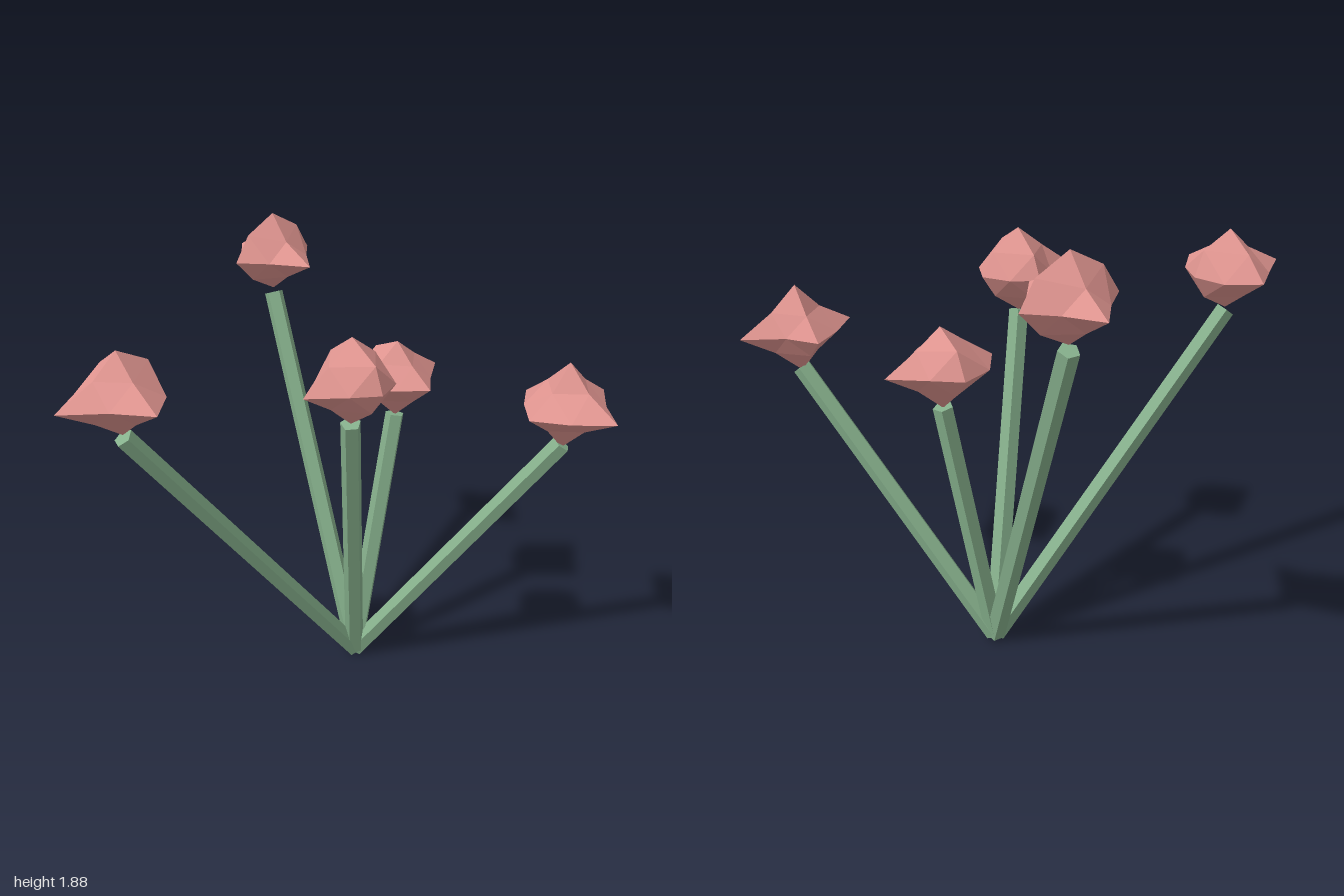
import * as THREE from 'three';

const BASE = new THREE.Vector3(0.26, 0.025, -0.035);
const SQUASH = 0.8;   // blooms are flattened in y
const NECK = 0.165;   // stem ends this far below a bloom's centre

// at: bloom centre. tips: reach along +x -x +y -y +z -z.
// xy, yz, xz: offset of the in-between corners in each plane, signs ++ +- -+ --.
const FLOWERS = [
  { at: [-0.74, 1.5, -0.21], tips: [0.17, 0.26, 0.17, 0.155, 0.24, 0.21],
    xy: [0.13, 0.115, 0.1, 0.105], yz: [0.1, 0.115, 0.1, 0.1], xz: [0.12, 0.13, 0.11, 0.115] },
  { at: [-0.04, 1.5, 0.24], tips: [0.165, 0.23, 0.175, 0.165, 0.165, 0.16],
    xy: [0.115, 0.11, 0.11, 0.1], yz: [0.125, 0.115, 0.11, 0.11], xz: [0.115, 0.1, 0.1, 0.095] },
  { at: [0.31, 1.705, -0.64], tips: [0.19, 0.195, 0.175, 0.145, 0.24, 0.215],
    xy: [0.13, 0.11, 0.13, 0.11], yz: [0.09, 0.09, 0.095, 0.095], xz: [0.1, 0.09, 0.1, 0.095] },
  { at: [0.46, 1.3, -0.03], tips: [0.23, 0.215, 0.155, 0.17, 0.195, 0.18],
    xy: [0.1, 0.1, 0.1, 0.1], yz: [0.09, 0.125, 0.1, 0.105], xz: [0.1, 0.1, 0.11, 0.13] },
  { at: [0.757, 1.3, 0.61], tips: [0.24, 0.22, 0.18, 0.18, 0.245, 0.2],
    xy: [0.105, 0.105, 0.095, 0.1], yz: [0.1, 0.1, 0.1, 0.105], xz: [0.11, 0.085, 0.13, 0.115] },
];

const petalMaterial = new THREE.MeshStandardMaterial({ color: 0xe09590, flatShading: true });
const stemMaterial = new THREE.MeshStandardMaterial({ color: 0x86b08c, flatShading: true });

// Faceted bloom: a once-divided octahedron with each corner pulled to its own reach
function bloomGeometry({ tips, xy, yz, xz }) {
  const geometry = new THREE.OctahedronGeometry(1, 1);
  const position = geometry.attributes.position;
  const pick = (list, a, b) => list[(a < 0 ? 2 : 0) + (b < 0 ? 1 : 0)];
  for (let i = 0; i < position.count; i++) {
    const s = [position.getX(i), position.getY(i), position.getZ(i)]
      .map((v) => (Math.abs(v) < 0.01 ? 0 : Math.sign(v)));
    const [x, y, z] = s;
    if (Math.abs(x) + Math.abs(y) + Math.abs(z) === 1) {
      const axis = s.findIndex((v) => v !== 0);
      const reach = tips[axis * 2 + (s[axis] < 0 ? 1 : 0)];
      position.setXYZ(i, x * reach, y * reach, z * reach);
    } else {
      const m = z === 0 ? pick(xy, x, y) : x === 0 ? pick(yz, y, z) : pick(xz, x, z);
      position.setXYZ(i, x * m, y * m * SQUASH, z * m);
    }
  }
  geometry.computeVertexNormals();
  return geometry;
}

// Five-sided stem leaning from the shared base to just under the bloom
function makeStem(top) {
  const direction = top.clone().sub(BASE);
  const stem = new THREE.Mesh(
    new THREE.CylinderGeometry(0.04, 0.042, direction.length(), 5), stemMaterial);
  stem.position.copy(BASE).add(top).multiplyScalar(0.5);
  stem.quaternion.setFromUnitVectors(new THREE.Vector3(0, 1, 0), direction.normalize());
  stem.name = 'stem';
  return stem;
}

export function createModel() {
  const model = new THREE.Group();
  model.name = 'flowerCluster';
  FLOWERS.forEach((spec, i) => {
    const flower = new THREE.Group();
    flower.name = `flower${i + 1}`;
    const centre = new THREE.Vector3(...spec.at);
    const bloom = new THREE.Mesh(bloomGeometry(spec), petalMaterial);
    bloom.name = 'bloom';
    bloom.position.copy(centre);
    flower.add(makeStem(centre.clone().setY(centre.y - NECK)), bloom);
    model.add(flower);
  });
  return model;
}
